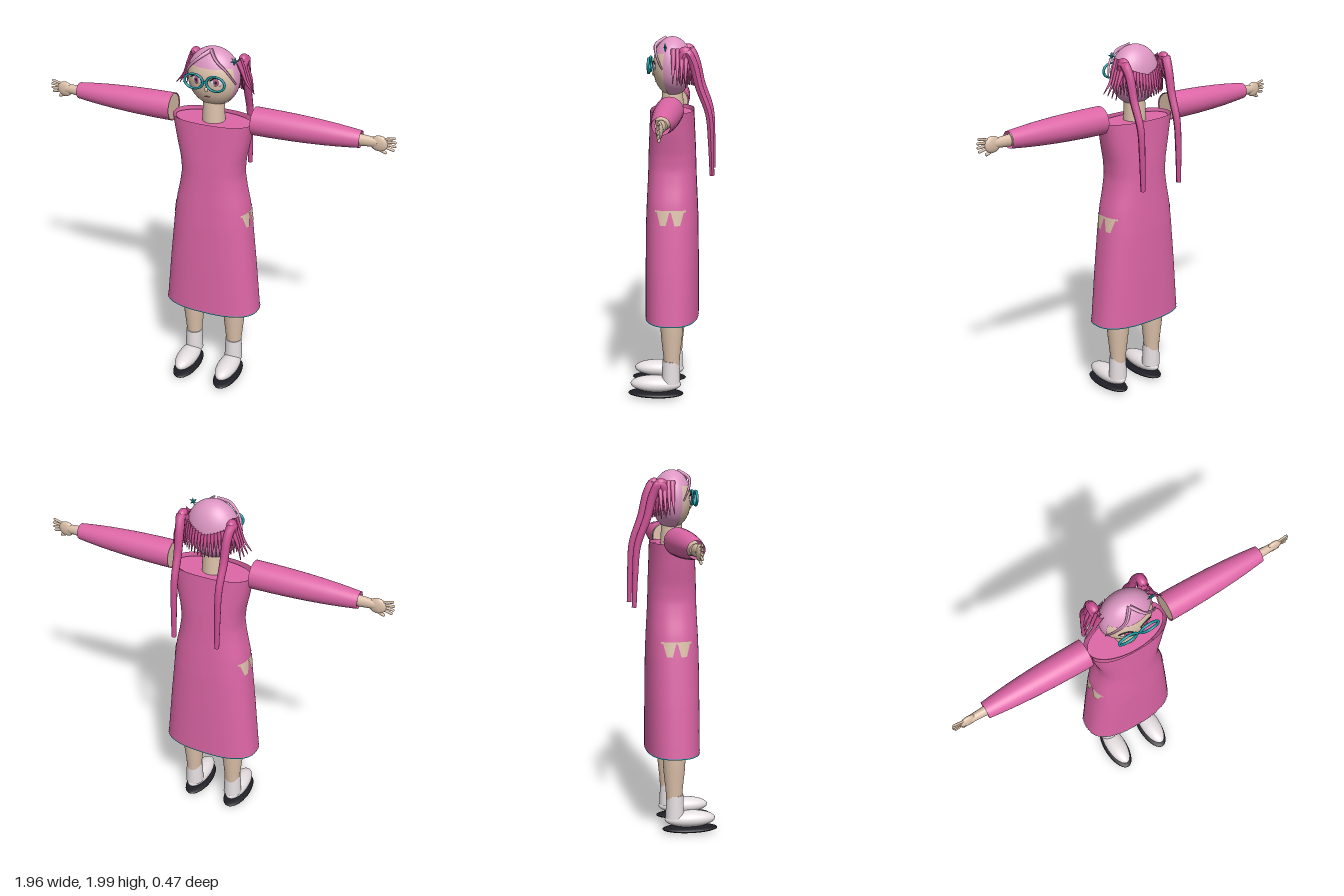
import * as THREE from 'three';

const mat = (name, color, side = THREE.FrontSide) => {
  const m = new THREE.MeshStandardMaterial({ color, side });
  m.name = name;
  return m;
};
const V = (x, y, z) => new THREE.Vector3(x, y, z);

export function createModel() {
  const model = new THREE.Group();
  const dressPink = mat('dress pink', 0xdd66a6, THREE.DoubleSide);
  const capPink = mat('light hair pink', 0xdc96c2);
  const hairPink = mat('deep hair pink', 0xcb5093);
  const skin = mat('skin', 0xdcc1aa, THREE.DoubleSide);
  const white = mat('shoe white', 0xe6dfe2);
  const black = mat('sole black', 0x1d1d24);
  const teal = mat('teal', 0x159aa6, THREE.DoubleSide);
  const iris = mat('iris rose', 0xb0567f);

  const add = (name, geo, material, x = 0, y = 0, z = 0, parent = model) => {
    const m = new THREE.Mesh(geo, material);
    m.name = name;
    m.position.set(x, y, z);
    parent.add(m);
    return m;
  };
  const ball = (name, material, x, y, z, rx, ry, rz) => {
    const m = add(name, new THREE.SphereGeometry(1, 28, 18), material, x, y, z);
    m.scale.set(rx, ry, rz);
    return m;
  };

  // Tapered tube through points; flat squashes nothing, r0 to r1 along the length
  const strand = (name, material, pts, r0, r1, segs = 16, sides = 8) => {
    const curve = new THREE.CatmullRomCurve3(pts);
    const geo = new THREE.TubeGeometry(curve, segs, 1, sides);
    const p = geo.attributes.position, v = V(), c = V();
    for (let i = 0; i < p.count; i++) {
      const u = Math.floor(i / (sides + 1)) / segs;
      curve.getPointAt(u, c);
      v.fromBufferAttribute(p, i).sub(c).multiplyScalar(r0 + (r1 - r0) * u).add(c);
      p.setXYZ(i, v.x, v.y, v.z);
    }
    geo.computeVertexNormals();
    return add(name, geo, material);
  };

  // Surface grid from a rule (u, v in 0..1)
  const grid = (rule, nu, nv) => {
    const pos = [], idx = [];
    for (let j = 0; j <= nv; j++)
      for (let i = 0; i <= nu; i++) pos.push(...rule(i / nu, j / nv));
    for (let j = 0; j < nv; j++)
      for (let i = 0; i < nu; i++) {
        const a = j * (nu + 1) + i, b = a + 1, c = a + nu + 1, d = c + 1;
        idx.push(a, c, b, b, c, d);
      }
    const g = new THREE.BufferGeometry();
    g.setAttribute('position', new THREE.Float32BufferAttribute(pos, 3));
    g.setIndex(idx);
    g.computeVertexNormals();
    return g;
  };

  // Dress: rounded-box sections [y, half width, half depth]
  const sections = [
    [0.46, 0.273, 0.147], [0.75, 0.246, 0.146], [1.0, 0.22, 0.143], [1.12, 0.205, 0.138],
    [1.22, 0.183, 0.133], [1.3, 0.171, 0.13], [1.38, 0.178, 0.128], [1.48, 0.2, 0.123], [1.61, 0.225, 0.117],
  ];
  const POW = 2.5;
  const section = (y) => {
    let k = 0;
    while (k < sections.length - 2 && y > sections[k + 1][0]) k++;
    const [a, b] = [sections[k], sections[k + 1]], t = (y - a[0]) / (b[0] - a[0]);
    return [a[1] + (b[1] - a[1]) * t, a[2] + (b[2] - a[2]) * t];
  };
  const bend = (c) => Math.sign(c) * Math.abs(c) ** (2 / POW);
  const wrap = (y0, y1, off) => (u, v) => {
    const y = y0 + (y1 - y0) * v, [rx, rz] = section(y), t = u * Math.PI * 2 + Math.PI * 1.5;
    return [(rx + off) * bend(Math.cos(t)), y, (rz + off) * bend(Math.sin(t))];
  };
  add('dress', grid(wrap(0.46, 1.61, 0), 64, 46), dressPink);
  add('hemTrim', grid(wrap(0.459, 0.465, 0.002), 64, 1), teal);
  add('dressTop', new THREE.CylinderGeometry(1, 1, 0.01, 32), dressPink, 0, 1.59, 0).scale.set(0.215, 1, 0.106);

  // Neck, head and hair cap
  add('neck', new THREE.CylinderGeometry(0.055, 0.062, 0.16, 24), skin, 0, 1.66, 0);
  const HY = 1.838, RX = 0.14, RY = 0.155, RZ = 0.105;
  ball('head', skin, 0, HY, 0, RX, RY, RZ);
  const crown = add('hairCrown', new THREE.SphereGeometry(1, 40, 14, 0, Math.PI * 2, 0, 1.1), capPink, 0, HY, 0);
  const back = add('hairBack', new THREE.SphereGeometry(1, 30, 20, 2.75, 3.92, 1.1, 1.75), capPink, 0, HY, 0);
  for (const m of [crown, back]) m.scale.set(RX + 0.003, RY + 0.004, RZ + 0.003);

  // Face
  for (const s of [-1, 1]) {
    const eye = ball('eye', white, s * 0.055, 1.845, 0.094, 0.033, 0.023, 0.006);
    const ir = ball('iris', iris, s * 0.054, 1.845, 0.0985, 0.016, 0.02, 0.004);
    const pu = ball('pupil', black, s * 0.054, 1.845, 0.1015, 0.007, 0.01, 0.002);
    for (const m of [eye, ir, pu]) m.rotation.y = s * 0.3;
    strand('upperLid', black, [V(s * 0.022, 1.851, 0.105), V(s * 0.055, 1.87, 0.098), V(s * 0.09, 1.853, 0.085)], 0.003, 0.003, 10, 6);
    const rim = add('glassesRim', new THREE.TorusGeometry(0.05, 0.007, 10, 36), teal, s * 0.06, 1.845, 0.122);
    rim.scale.set(1, 0.78, 1);
  }
  add('glassesBridge', new THREE.BoxGeometry(0.022, 0.01, 0.008), teal, 0, 1.848, 0.122);
  ball('nose', skin, 0, 1.8, 0.1, 0.009, 0.014, 0.01);
  ball('mouth', iris, 0, 1.757, 0.089, 0.017, 0.003, 0.004);

  // Star-shaped hair clip on the left
  for (let i = 0; i < 3; i++) {
    const bar = add('hairClip', new THREE.OctahedronGeometry(0.026), teal, 0.128, 1.945, 0.03);
    bar.scale.set(1, 0.28, 0.3);
    bar.rotation.z = i * Math.PI / 3 + 0.3;
  }

  // Hair strands, mirrored
  for (const s of [-1, 1]) {
    strand('fringe', capPink, [V(0, 1.99, 0.035), V(s * 0.05, 1.955, 0.085), V(s * 0.105, 1.9, 0.078), V(s * 0.14, 1.83, 0.045)], 0.011, 0.004);
    strand('pigtail', hairPink, [
      V(s * 0.13, 1.87, -0.05), V(s * 0.14, 1.925, -0.08), V(s * 0.132, 1.87, -0.115), V(s * 0.128, 1.74, -0.15),
      V(s * 0.125, 1.6, -0.2), V(s * 0.125, 1.45, -0.213), V(s * 0.125, 1.27, -0.22),
    ], 0.027, 0.013, 40, 10);
    ball('pigtailKnot', hairPink, s * 0.135, 1.925, -0.075, 0.024, 0.026, 0.034);
    // Flicked side locks
    for (let i = 0; i < 4; i++) {
      const z = -0.015 - i * 0.022;
      strand('sideLock', hairPink, [V(s * 0.125, 1.935, z), V(s * 0.15, 1.88, z), V(s * 0.175, 1.82, z), V(s * (0.22 - i * 0.01), 1.765 - i * 0.008, z)], 0.017, 0.002);
    }
    // Comb of short locks around the back of the head
    for (let i = 0; i < 10; i++) {
      const a = 0.06 + i * 0.125, sx = Math.sin(a) * s, cz = -Math.cos(a), top = 1.855 + 0.05 * (i / 9);
      strand('backLock', hairPink, [
        V(sx * 0.137, top, cz * 0.104), V(sx * 0.15, top - 0.045, cz * 0.115), V(sx * 0.165, 1.735 + i * 0.003, cz * 0.125),
      ], 0.012, 0.003, 8, 6);
    }
  }

  // Arms, hands, legs and feet, mirrored
  const sleeve = [[0.075, 0.23], [0.074, 0.34], [0.07, 0.48], [0.062, 0.62], [0.052, 0.73], [0.044, 0.8]];
  for (const s of [-1, 1]) {
    const arm = new THREE.Group();
    arm.name = s > 0 ? 'leftArm' : 'rightArm';
    arm.position.y = 1.626;
    model.add(arm);
    const lathe = new THREE.LatheGeometry(new THREE.SplineCurve(sleeve.map(([r, h]) => new THREE.Vector2(r, h))).getPoints(24), 32);
    add('sleeve', lathe, dressPink, 0, 0, 0, arm).rotation.z = -s * Math.PI / 2;
    const lathed = add('arm', new THREE.CylinderGeometry(0.03, 0.071, 0.56, 24), skin, s * 0.515, 0, 0, arm);
    lathed.rotation.z = -s * Math.PI / 2;
    const wrist = add('wrist', new THREE.CylinderGeometry(0.024, 0.032, 0.1, 16), skin, s * 0.835, -0.003, 0, arm);
    wrist.rotation.z = -s * Math.PI / 2;
    wrist.scale.z = 0.75;
    const palm = add('palm', new THREE.SphereGeometry(1, 20, 14), skin, s * 0.893, -0.006, 0, arm);
    palm.scale.set(0.047, 0.042, 0.017);
    const finger = (name, x, y, len, r, angle) => {
      const f = add(name, new THREE.CapsuleGeometry(r, len, 4, 8), skin, s * x, y, 0, arm);
      f.rotation.z = -s * (Math.PI / 2 - angle);
      f.scale.z = 0.8;
    };
    for (let i = 0; i < 4; i++) {
      const k = i - 1.5;
      finger('finger', 0.948 - Math.abs(k) * 0.006, 0.001 + k * 0.017, 0.056, 0.0075, k * 0.16);
    }
    finger('thumb', 0.91, -0.044, 0.036, 0.009, -0.35);

    // Skin openings at the hips, following the dress side
    for (const c of [-0.04, 0.037])
      add('hipOpening', grid((u, v) => {
        const y = 1.01 + 0.08 * v, [rx, rz] = section(y);
        const z = c + (u - 0.5) * (0.03 + 0.043 * v);
        return [s * ((rx + 0.003) * (1 - Math.abs(z / rz) ** POW) ** (1 / POW)), y, z];
      }, 8, 6), skin);
    add('hipOpeningTop', grid((u, v) => {
      const y = 1.08 + 0.01 * v, [rx, rz] = section(y), z = -0.085 + 0.165 * u;
      return [s * ((rx + 0.0035) * (1 - Math.abs(z / rz) ** POW) ** (1 / POW)), y, z];
    }, 12, 1), skin);

    const x = s * 0.125;
    const leg = [[0.043, 0.18], [0.047, 0.25], [0.059, 0.36], [0.065, 0.46], [0.07, 0.7]].map(([r, h]) => new THREE.Vector2(r, h));
    add('leg', new THREE.LatheGeometry(leg, 28), skin, x, 0, -0.004);
    add('sock', new THREE.CylinderGeometry(0.047, 0.052, 0.13, 28), white, x, 0.158, 0);
    ball('shoe', white, s * 0.127, 0.083, 0.085, 0.06, 0.046, 0.142);
    ball('sole', black, s * 0.127, 0.027, 0.085, 0.07, 0.019, 0.155);
  }
  return model;
}
